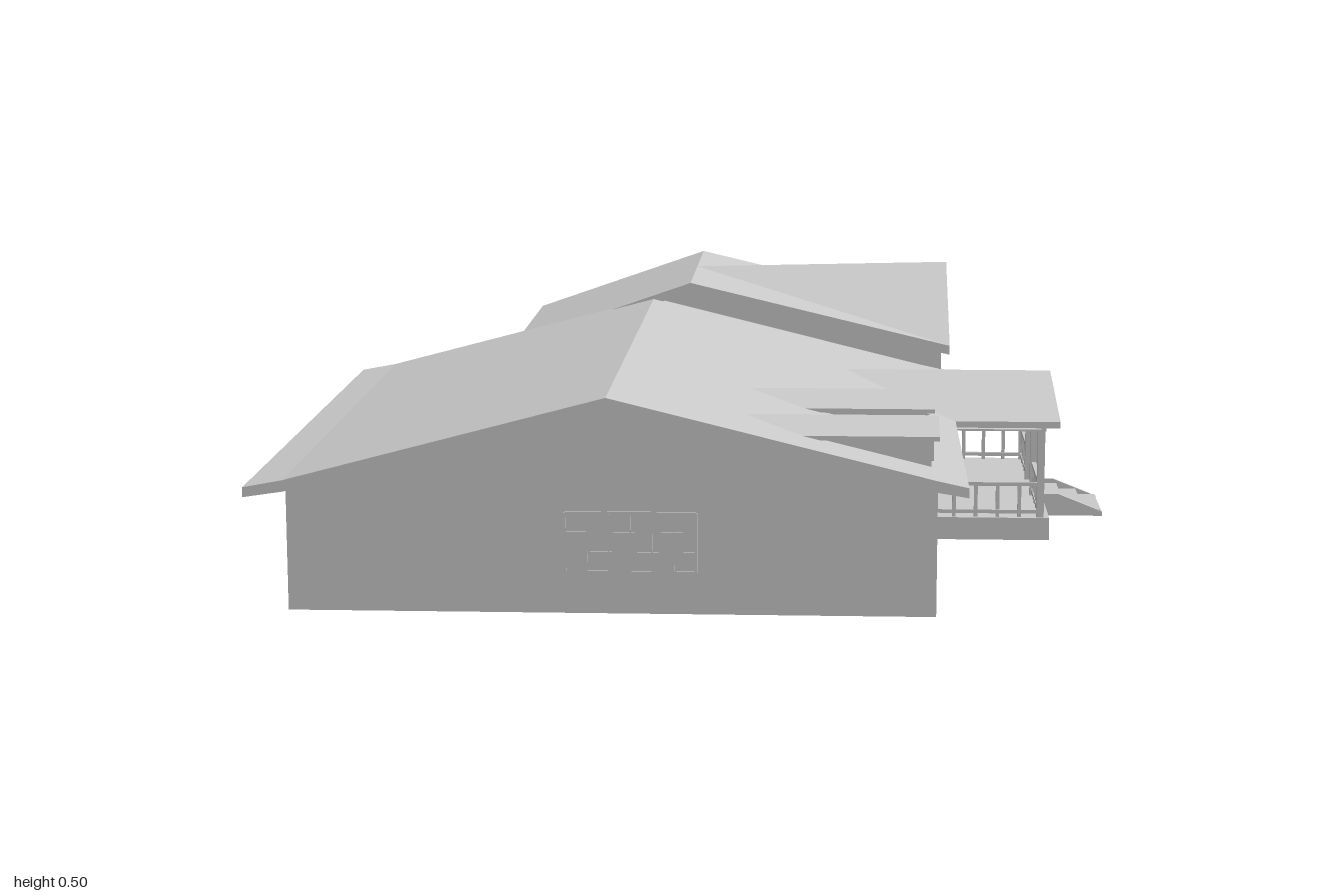
import * as THREE from 'three';

const material = new THREE.MeshStandardMaterial({ color: 0xcccccc, side: THREE.DoubleSide });

function add(parent, name, geometry, x = 0, y = 0, z = 0) {
  const mesh = new THREE.Mesh(geometry, material);
  mesh.name = name;
  mesh.position.set(x, y, z);
  parent.add(mesh);
  return mesh;
}

// Box given by its low and high limits on each axis
function block(parent, name, [x0, x1], [y0, y1], [z0, z1]) {
  return add(parent, name, new THREE.BoxGeometry(x1 - x0, y1 - y0, z1 - z0),
    (x0 + x1) / 2, (y0 + y1) / 2, (z0 + z1) / 2);
}

function extrude(points, depth) {
  const shape = new THREE.Shape(points.map(([a, b]) => new THREE.Vector2(a, b)));
  return new THREE.ExtrudeGeometry(shape, { depth, bevelEnabled: false });
}

// (x, y) outline swept along z
const prismZ = (parent, name, points, z0, z1) => add(parent, name, extrude(points, z1 - z0), 0, 0, z0);

// (z, y) outline swept along x
const prismX = (parent, name, points, x0, x1) =>
  add(parent, name, extrude(points, x1 - x0).rotateY(-Math.PI / 2), x1, 0, 0);

// Two-slope roof slab, ridge along x
function gableRoof(parent, name, z, half, peak, eave, thick, x0, x1) {
  prismX(parent, name, [[z - half, eave], [z, peak], [z + half, eave],
    [z + half, eave - thick], [z, peak - thick], [z - half, eave - thick]], x0, x1);
}

// Framed window with muntins, turned to face angle about y
function windowUnit(parent, name, x, y, z, w, h, angle, cols = 4, rows = 3) {
  const g = new THREE.Group();
  g.name = name;
  g.position.set(x, y, z);
  g.rotation.y = angle;
  parent.add(g);
  block(g, 'pane', [-w / 2, w / 2], [-h / 2, h / 2], [-0.002, 0.002]);
  for (let i = 0; i <= cols; i++) {
    const t = i % cols ? 0.0012 : 0.0025, c = -w / 2 + (w * i) / cols;
    block(g, 'upright', [c - t, c + t], [-h / 2, h / 2], [0, 0.004]);
  }
  for (let i = 0; i <= rows; i++) {
    const t = i % rows ? 0.0012 : 0.0025, c = -h / 2 + (h * i) / rows;
    block(g, 'crossbar', [-w / 2, w / 2], [c - t, c + t], [0, 0.004]);
  }
}

// Wing roof: a ridge along z with a cross gable facing +x
function wingRoofGeometry() {
  const top = [[-0.51, 0.33, -1], [-0.08, 0.48, -1], [0.55, 0.33, -1], [0.55, 0.495, -0.685],
    [0.55, 0.33, -0.37], [-0.08, 0.48, -0.37], [-0.51, 0.33, -0.37], [-0.08, 0.48, -0.685]];
  const faces = [[0, 6, 5], [0, 5, 1], [7, 2, 1], [7, 3, 2], [7, 4, 3], [7, 5, 4]];
  const pos = [];
  const put = (i, low) => pos.push(top[i][0], top[i][1] - (low ? 0.022 : 0), top[i][2]);
  for (const [a, b, c] of faces) {
    put(a); put(b); put(c);
    put(a, true); put(c, true); put(b, true);
  }
  for (let i = 0; i < 7; i++) {
    const j = (i + 1) % 7;
    put(i); put(j); put(j, true);
    put(i); put(j, true); put(i, true);
  }
  const g = new THREE.BufferGeometry();
  g.setAttribute('position', new THREE.Float32BufferAttribute(pos, 3));
  g.computeVertexNormals();
  return g;
}

function mainHouse(house) {
  const g = new THREE.Group();
  g.name = 'mainHouse';
  house.add(g);
  // Walls, open at the bottom, with a ceiling
  prismZ(g, 'frontWall', [[-0.81, 0], [0.48, 0], [0.48, 0.258], [-0.17, 0.42], [-0.81, 0.25]], 0.96, 0.97);
  prismZ(g, 'backWall', [[-0.81, 0], [-0.47, 0], [-0.47, 0.34], [-0.81, 0.25]], -0.39, -0.38);
  block(g, 'leftSideWall', [-0.81, -0.8], [0, 0.25], [-0.39, 0.97]);
  block(g, 'rightSideWall', [0.47, 0.48], [0, 0.258], [-0.39, 0.97]);
  block(g, 'ceiling', [-0.805, 0.475], [0.237, 0.242], [-0.385, 0.965]);
  prismZ(g, 'mainRoof', [[-0.89, 0.255], [-0.81, 0.27], [-0.17, 0.44], [0.48, 0.28], [0.54, 0.267],
    [0.54, 0.247], [0.48, 0.257], [-0.17, 0.417], [-0.81, 0.247], [-0.89, 0.235]], -0.4, 1);
  windowUnit(g, 'frontWindow', -0.125, 0.145, 0.971, 0.26, 0.12, 0, 6);
  windowUnit(g, 'sideWindow', 0.481, 0.14, 0.655, 0.21, 0.12, Math.PI / 2, 6);
  // Dormers
  for (const z of [0.5, 0.805]) {
    const d = new THREE.Group();
    d.name = 'dormer';
    g.add(d);
    prismX(d, 'dormerBody', [[z - 0.065, 0.265], [z + 0.065, 0.265], [z + 0.065, 0.342],
      [z, 0.365], [z - 0.065, 0.342]], 0.22, 0.47);
    gableRoof(d, 'dormerRoof', z, 0.08, 0.375, 0.346, 0.009, 0.1, 0.485);
    windowUnit(d, 'dormerWindow', 0.471, 0.309, z, 0.08, 0.035, Math.PI / 2, 2, 1);
  }
}

function wing(house) {
  const g = new THREE.Group();
  g.name = 'wing';
  house.add(g);
  const gable = [[0.53, 0.315], [-0.08, 0.465], [-0.47, 0.33]];
  prismZ(g, 'wingBackWall', [[-0.47, 0], [0.53, 0], ...gable], -0.965, -0.955);
  prismZ(g, 'wingUpperFrontWall', [[-0.47, 0.242], [0.53, 0.242], ...gable], -0.4, -0.39);
  block(g, 'wingFrontReturn', [0.47, 0.53], [0, 0.25], [-0.4, -0.39]);
  block(g, 'wingLeftWall', [-0.47, -0.46], [0, 0.325], [-0.965, -0.38]);
  prismX(g, 'wingGableWall', [[-0.965, 0], [-0.39, 0], [-0.39, 0.325], [-0.685, 0.48], [-0.965, 0.333]], 0.52, 0.53);
  block(g, 'wingCeiling', [-0.465, 0.525], [0.237, 0.242], [-0.96, -0.385]);
  add(g, 'wingRoof', wingRoofGeometry());
  windowUnit(g, 'wingGableWindow', 0.531, 0.15, -0.685, 0.18, 0.12, Math.PI / 2);
  windowUnit(g, 'wingBackWindow', -0.01, 0.15, -0.966, 0.2, 0.12, Math.PI, 5);
  windowUnit(g, 'wingLeftWindow', -0.471, 0.15, -0.57, 0.14, 0.11, -Math.PI / 2, 3);
  // Half-round attic vent with slats
  const arch = new THREE.TorusGeometry(0.02, 0.003, 6, 16, Math.PI).rotateY(Math.PI / 2);
  add(g, 'atticVent', arch, 0.531, 0.4, -0.685);
  for (const [y, half] of [[0.4, 0.02], [0.408, 0.018]])
    block(g, 'ventSlat', [0.528, 0.534], [y - 0.002, y + 0.002], [-0.685 - half, -0.685 + half]);
}

function porch(house) {
  const g = new THREE.Group();
  g.name = 'porch';
  house.add(g);
  block(g, 'porchFloor', [0.48, 0.75], [0, 0.05], [-0.39, 0.285]);
  gableRoof(g, 'porchRoof', -0.05, 0.34, 0.325, 0.267, 0.014, 0.27, 0.77);
  prismX(g, 'pediment', [[-0.385, 0.245], [0.285, 0.245], [0.285, 0.255], [-0.05, 0.313], [-0.385, 0.255]], 0.73, 0.74);
  block(g, 'porchCeiling', [0.48, 0.735], [0.245, 0.249], [-0.385, 0.285]);

  // Posts, then rails with balusters between them
  for (const z of [0.272, 0.038, -0.138, -0.378])
    block(g, 'porchPost', [0.722, 0.738], [0.05, 0.247], [z - 0.008, z + 0.008]);
  for (const [z0, z1] of [[0.038, 0.272], [-0.378, -0.138]]) {
    for (const y of [0.062, 0.124])
      block(g, 'frontRail', [0.725, 0.735], [y - 0.004, y + 0.004], [z0, z1]);
    for (let i = 1; i < 5; i++) {
      const z = z0 + ((z1 - z0) * i) / 5;
      block(g, 'baluster', [0.726, 0.734], [0.05, 0.124], [z - 0.004, z + 0.004]);
    }
  }
  for (const z of [0.272, -0.378]) {
    for (const y of [0.062, 0.124])
      block(g, 'sideRail', [0.48, 0.73], [y - 0.004, y + 0.004], [z - 0.005, z + 0.005]);
    for (let i = 0; i < 5; i++) {
      const x = 0.492 + i * 0.048;
      block(g, 'baluster', [x - 0.004, x + 0.004], [0.05, 0.124], [z - 0.004, z + 0.004]);
    }
  }

  // Steps between sloped stringers
  for (const z of [-0.15, 0.022]) {
    prismZ(g, 'stringer', [[0.75, 0], [0.89, 0], [0.89, 0.01], [0.79, 0.05], [0.75, 0.05]], z, z + 0.008);
  }
  for (let i = 0; i < 3; i++) {
    const x = 0.75 + i * 0.045, y = 0.04 - i * 0.013;
    block(g, 'step', [x, x + 0.047], [y - 0.015, y], [-0.145, 0.025]);
  }

  // Door and windows on the wall behind
  block(g, 'door', [0.48, 0.484], [0.05, 0.225], [-0.1, 0]);
  block(g, 'doorRail', [0.48, 0.486], [0.16, 0.165], [-0.1, 0]);
  for (const z of [0.16, -0.26])
    windowUnit(g, 'porchWindow', 0.481, 0.165, z, 0.18, 0.075, Math.PI / 2, 4, 1);
}

export function createModel() {
  const house = new THREE.Group();
  house.name = 'house';
  mainHouse(house);
  wing(house);
  porch(house);
  return house;
}
